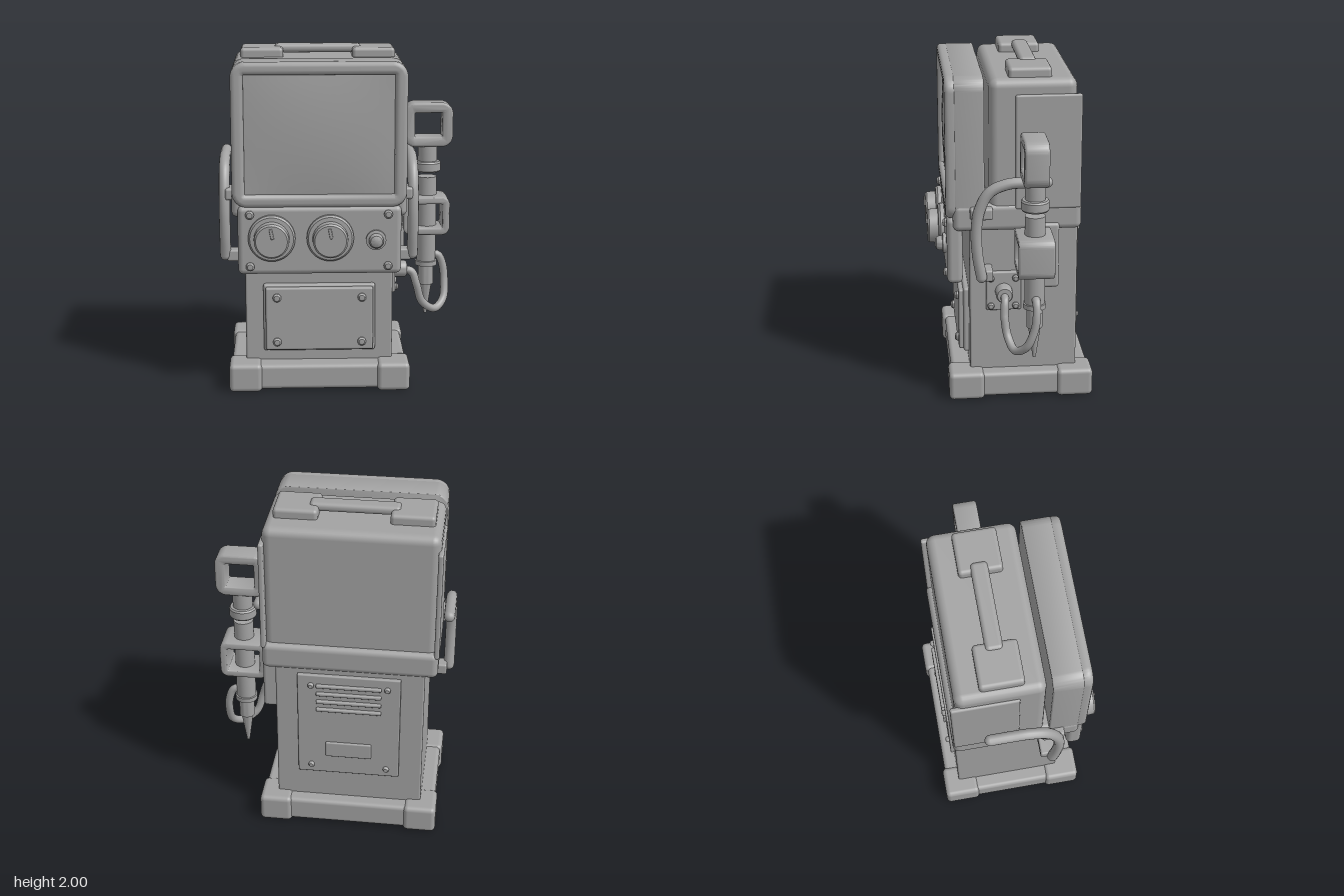
import * as THREE from 'three';
import { toCreasedNormals } from 'three/addons/utils/BufferGeometryUtils.js';
import { RoundedBoxGeometry } from 'three/addons/geometries/RoundedBoxGeometry.js';

export function createModel() {
  const model = new THREE.Group();
  model.name = 'terminal';
  const grey = new THREE.MeshStandardMaterial({ color: 0xa3a3a3 });
  grey.name = 'grey';
  const CX = -0.115; // centre line of the cabinet

  const add = (name, geometry, parent = model) => {
    const mesh = new THREE.Mesh(geometry, grey);
    mesh.name = name;
    parent.add(mesh);
    return mesh;
  };
  // Rounded box given by its limits
  const box = (name, x0, x1, y0, y1, z0, z1, r = 0.02) => {
    const m = add(name, new RoundedBoxGeometry(x1 - x0, y1 - y0, z1 - z0, 3, r));
    m.position.set((x0 + x1) / 2, (y0 + y1) / 2, (z0 + z1) / 2);
    return m;
  };
  // Turned part, profile of [radius, height], pointing along an axis
  const turned = (name, profile, x, y, z, axis = 'y', segments = 32) => {
    const g = new THREE.LatheGeometry(profile.map(p => new THREE.Vector2(...p)), segments);
    const m = add(name, toCreasedNormals(g, 0.6));
    m.position.set(x, y, z);
    if (axis === 'z') m.rotation.x = Math.PI / 2;
    if (axis === '-z') m.rotation.x = -Math.PI / 2;
    if (axis === 'x') m.rotation.z = -Math.PI / 2;
    return m;
  };
  const screw = (x, y, z, axis, r = 0.025) => turned('screw',
    [[r, -0.01], [r, 0.012], [r * 0.65, 0.022], [0, 0.024]], x, y, z, axis, 16);
  const tube = (name, points, r, segments = 48) => {
    const curve = new THREE.CatmullRomCurve3(points.map(p => new THREE.Vector3(...p)));
    add(name, new THREE.TubeGeometry(curve, segments, r, 14));
    // Round caps at both ends
    for (const p of [points[0], points[points.length - 1]]) {
      const cap = add(name + 'End', new THREE.SphereGeometry(r, 14, 10));
      cap.position.set(...p);
      cap.scale.setScalar(0.99);
    }
  };
  const roundRect = (S, w, h, r) => {
    const s = new S(), a = w / 2, b = h / 2;
    s.moveTo(-a + r, -b).lineTo(a - r, -b).absarc(a - r, -b + r, r, -Math.PI / 2, 0)
      .lineTo(a, b - r).absarc(a - r, b - r, r, 0, Math.PI / 2)
      .lineTo(-a + r, b).absarc(-a + r, b - r, r, Math.PI / 2, Math.PI)
      .lineTo(-a, -b + r).absarc(-a + r, -b + r, r, Math.PI, Math.PI * 1.5);
    return s;
  };
  // Rounded slab along z, optionally with a rounded window [w, h, radius]
  const slab = (name, w, h, r, x, y, z0, z1, bevel, hole) => {
    const shape = roundRect(THREE.Shape, w - 2 * bevel, h - 2 * bevel, r);
    if (hole) shape.holes.push(roundRect(THREE.Path, hole[0] + 2 * bevel, hole[1] + 2 * bevel, hole[2]));
    const g = new THREE.ExtrudeGeometry(shape, {
      depth: z1 - z0 - 2 * bevel, bevelThickness: bevel, bevelSize: bevel, bevelSegments: 4, curveSegments: 8 });
    const m = add(name, toCreasedNormals(g, 0.7));
    m.position.set(x, y, z0 + bevel);
    return m;
  };

  // Plinth with four corner guards
  box('base', -0.635, 0.4, 0.012, 0.162, -0.468, 0.352, 0.025);
  for (const [x0, x1] of [[-0.648, -0.455], [0.222, 0.415]])
    for (const [z0, z1] of [[-0.483, -0.27], [0.16, 0.37]])
      box('cornerGuard', x0, x1, 0, 0.17, z0, z1, 0.028);

  // Cabinet, shoulder band and upper housing
  box('cabinet', -0.55, 0.315, 0.13, 1.15, -0.39, 0.24, 0.012);
  box('shoulderBand', -0.62, 0.39, 1.05, 1.21, -0.402, 0.335, 0.035);
  box('upperHousing', -0.61, 0.38, 1.15, 1.932, -0.37, 0.128, 0.05);
  for (const [x0, x1] of [[-0.625, -0.595], [0.365, 0.395]])
    box('sidePlate', x0, x1, 1.18, 1.845, -0.396, -0.02, 0.012);

  // Screen block, window frame and slightly domed glass
  slab('screenBlock', 1.0, 0.83, 0.07, CX, 1.53, 0.155, 0.325, 0.01);
  slab('screenFrame', 1.0, 0.83, 0.06, CX, 1.53, 0.30, 0.375, 0.025, [0.855, 0.685, 0.03]);
  const glass = new THREE.PlaneGeometry(0.87, 0.7, 16, 16);
  const gp = glass.attributes.position;
  for (let i = 0; i < gp.count; i++) {
    const u = gp.getX(i) / 0.435, v = gp.getY(i) / 0.35;
    gp.setZ(i, 0.022 * (1 - u * u) * (1 - v * v));
  }
  glass.computeVertexNormals();
  add('screen', glass).position.set(CX, 1.53, 0.343);

  // Top grip
  for (const x of [-0.567, 0.085]) box('gripPad', x, x + 0.25, 1.9, 1.987, -0.23, 0.015, 0.022);
  box('gripBar', -0.37, 0.14, 1.948, 2.0, -0.162, -0.065, 0.024);

  // Control panel
  box('controlPanel', -0.585, 0.355, 0.72, 1.12, 0.28, 0.37, 0.03);
  for (const x of [-0.515, 0.278]) for (const y of [0.77, 1.075]) screw(x, y, 0.368, 'z');
  for (const x of [-0.39, -0.055]) {
    turned('knob', [[0.135, -0.01], [0.135, 0.022], [0.125, 0.034], [0.102, 0.036],
      [0.1, 0.088], [0.09, 0.098], [0, 0.098]], x, 0.94, 0.37, 'z', 40);
    const mark = box('knobPointer', x - 0.009, x + 0.009, 0.955, 1.015, 0.46, 0.477, 0.004);
    mark.rotation.z = 0.2;
  }
  turned('button', [[0.058, -0.01], [0.058, 0.018], [0.042, 0.022], [0.042, 0.04],
    [0.034, 0.056], [0.018, 0.063], [0, 0.065]], 0.208, 0.925, 0.37, 'z');

  // Front hatch
  box('hatchRim', -0.445, 0.212, 0.225, 0.632, 0.22, 0.272, 0.015);
  box('hatch', -0.432, 0.198, 0.238, 0.618, 0.25, 0.3, 0.012);
  for (const x of [-0.365, 0.132]) for (const y of [0.29, 0.56]) screw(x, y, 0.297, 'z');

  // Rear service panel with louvres
  box('rearPanel', -0.415, 0.185, 0.345, 1.03, -0.412, -0.38, 0.008);
  for (let i = 0; i < 4; i++) {
    const y = 0.963 - i * 0.054;
    box('louvre', -0.305, 0.075, y - 0.011, y + 0.011, -0.43, -0.4, 0.008);
  }
  box('rearLabel', -0.25, 0.02, 0.47, 0.57, -0.425, -0.4, 0.008);
  for (const x of [-0.34, 0.105]) for (const y of [0.4, 0.963]) screw(x, y, -0.409, '-z', 0.018);

  // Bent side rails, mirrored
  for (const s of [-1, 1]) {
    const x = CX + s * 0.55;
    tube('sideRail', [[x, 1.352, -0.195], [x, 1.352, -0.08], [x, 1.345, 0.03], [x, 1.3, 0.13],
      [x, 1.2, 0.187], [x, 1.07, 0.207], [x, 0.92, 0.2], [x, 0.79, 0.178]], 0.032);
    const span = (a, b) => [Math.min(CX + s * a, CX + s * b), Math.max(CX + s * a, CX + s * b)];
    box('railFoot', ...span(0.42, 0.54), 0.755, 0.823, 0.11, 0.2, 0.012);
    box('railClamp', ...span(0.48, 0.545), 1.13, 1.2, 0.11, 0.24, 0.015);
  }

  // Probe holder on the left side
  const PX = 0.545, PZ = -0.115;
  box('holderBracket', 0.3, 0.41, 0.7, 1.095, -0.272, -0.09, 0.02);
  slab('holderLoop', 0.28, 0.235, 0.035, 0.536, 0.967, -0.217, -0.012, 0.012, [0.19, 0.145, 0.02]);
  // Probe body and tip
  turned('probe', [[0, 0.33], [0.009, 0.332], [0.036, 0.52], [0.046, 0.522], [0.046, 0.64],
    [0.066, 0.642], [0.066, 0.67], [0.058, 0.672], [0.058, 1.195], [0, 1.197]], PX, 0, PZ);
  // Probe head with grip loop
  turned('probeCollar', [[0, 1.225], [0.073, 1.226], [0.08, 1.235], [0.08, 1.28], [0.073, 1.29],
    [0.058, 1.292], [0.058, 1.4], [0, 1.4]], PX, 0, PZ);
  slab('gripLoop', 0.29, 0.265, 0.05, PX, 1.517, -0.18, -0.042, 0.015, [0.165, 0.145, 0.02]);

  // Hose socket and hose
  box('socketPlate', 0.3, 0.338, 0.54, 0.78, -0.06, 0.145, 0.01);
  for (const z of [-0.027, 0.118]) for (const y of [0.57, 0.742]) screw(0.336, y, z, 'x', 0.02);
  turned('socket', [[0.05, -0.01], [0.05, 0.065], [0.042, 0.078], [0, 0.08]], 0.335, 0.66, 0.043, 'x');
  tube('hose', [[0.4, 0.655, 0.043], [0.445, 0.64, 0.045], [0.475, 0.56, 0.05], [0.51, 0.45, 0.035],
    [0.59, 0.395, 0], [0.648, 0.44, -0.06], [0.658, 0.55, -0.105], [0.648, 0.64, -0.118],
    [0.62, 0.7, -0.118], [0.575, 0.71, -0.115]], 0.024, 64);

  return model;
}
